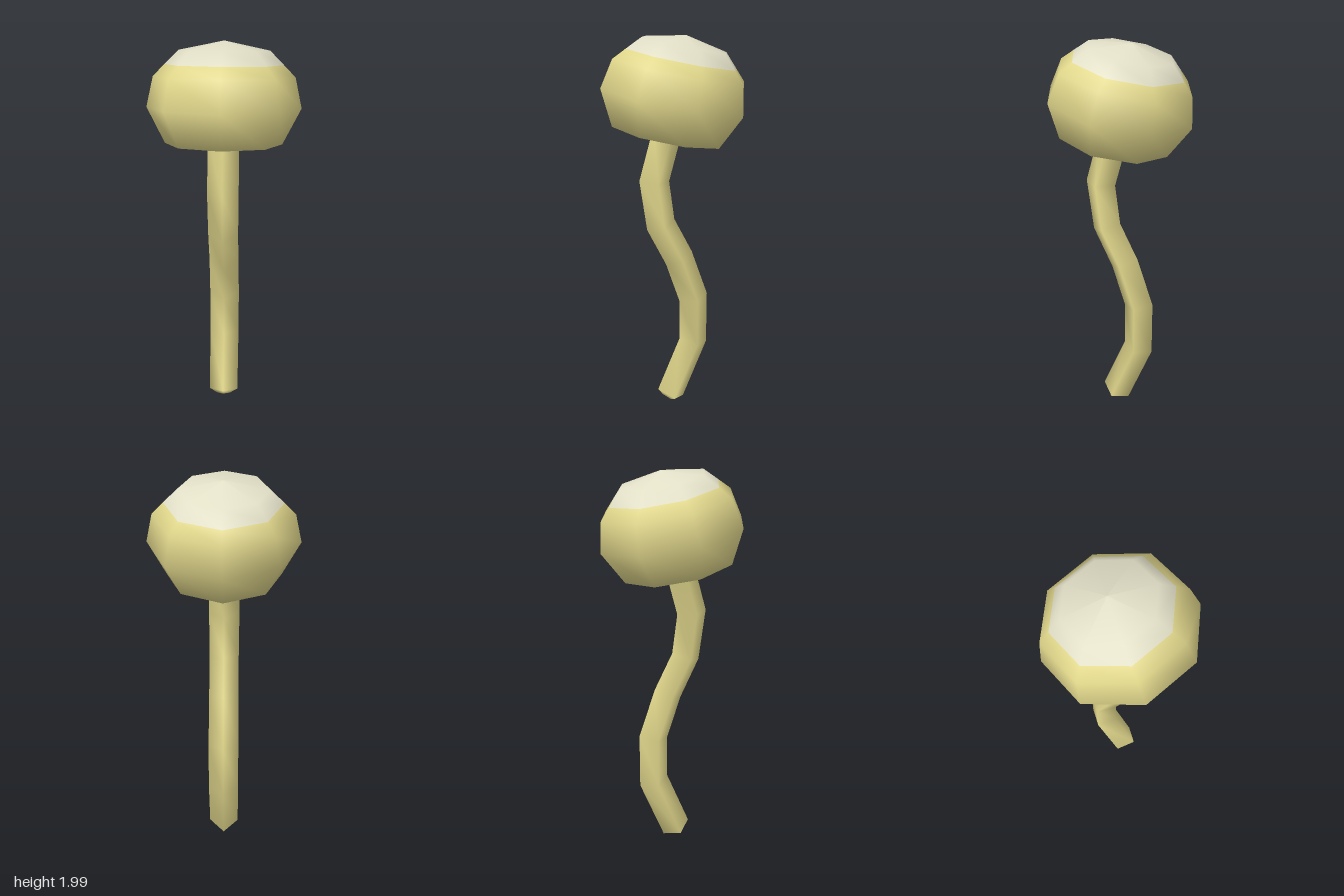
import * as THREE from 'three';

const flat = (name, color, extra = {}) => {
  const m = new THREE.MeshStandardMaterial({ color, ...extra });
  m.name = name;
  return m;
};

// Four-sided stem lofted along a path in the y/z plane; path rows are [z, y, radius].
function stemGeometry(path) {
  const sides = 4, pos = [], index = [];
  const at = (i) => path[Math.min(Math.max(i, 0), path.length - 1)];
  path.forEach(([z, y, r], i) => {
    const t = new THREE.Vector2(at(i + 1)[0] - at(i - 1)[0], at(i + 1)[1] - at(i - 1)[1]).normalize();
    for (let k = 0; k < sides; k++) {
      const a = (k / sides) * Math.PI * 2;
      const s = Math.sin(a) * r;
      pos.push(Math.cos(a) * r, y - t.x * s, z + t.y * s);
    }
  });
  for (let i = 0; i < path.length - 1; i++) {
    for (let k = 0; k < sides; k++) {
      const n = (k + 1) % sides;
      const a = i * sides + k, b = i * sides + n, c = b + sides, d = a + sides;
      index.push(a, d, c, a, c, b);
    }
  }
  index.push(0, 1, 2, 0, 2, 3); // closed foot
  const g = new THREE.BufferGeometry();
  g.setAttribute('position', new THREE.Float32BufferAttribute(pos, 3));
  g.setIndex(index);
  g.computeVertexNormals();
  return g;
}

// Eight-sided cap; each profile band gets the material slot given in bands.
function capGeometry(profile, bands) {
  const segments = 8, n = profile.length;
  const g = new THREE.LatheGeometry(profile.map(([r, h]) => new THREE.Vector2(r, h)), segments);
  const slots = [[], [], []];
  for (let i = 0; i < segments; i++) {
    for (let j = 0; j < n - 1; j++) {
      const a = i * n + j, b = a + n, c = b + 1, d = a + 1;
      slots[bands[j]].push(a, b, d, c, d, b);
    }
  }
  g.setIndex(slots.flat());
  g.clearGroups();
  let start = 0;
  slots.forEach((s, m) => {
    g.addGroup(start, s.length, m);
    start += s.length;
  });
  return g;
}

export function createModel() {
  const model = new THREE.Group();
  model.name = 'mushroom';

  const cream = flat('cream yellow', 0xe2d88c);
  const pale = flat('pale ivory', 0xe1dfc6);
  const gill = flat('gill orange', 0xc4801f);

  // Wavy stem with a small bevelled foot
  const stem = new THREE.Mesh(stemGeometry([
    [0.03, 0.028, 0.036],
    [0.02, 0.05, 0.078],
    [-0.108, 0.355, 0.079],
    [-0.108, 0.61, 0.079],
    [-0.027, 0.845, 0.077],
    [0.072, 1.04, 0.077],
    [0.105, 1.275, 0.079],
    [0.032, 1.54, 0.077],
  ]), cream);
  stem.name = 'stem';
  model.add(stem);

  // Tilted cap: gill underside, cream side, pale crown
  const cap = new THREE.Mesh(capGeometry([
    [0, 0],
    [0.29, 0],
    [0.38, 0.176],
    [0.347, 0.325],
    [0.29, 0.383],
    [0.222, 0.451],
    [0, 0.497],
  ], [0, 1, 1, 1, 2, 2]), [gill, cream, pale]);
  cap.name = 'cap';
  cap.position.set(0, 1.512, 0.035);
  cap.rotation.x = -0.2;
  model.add(cap);

  return model;
}
